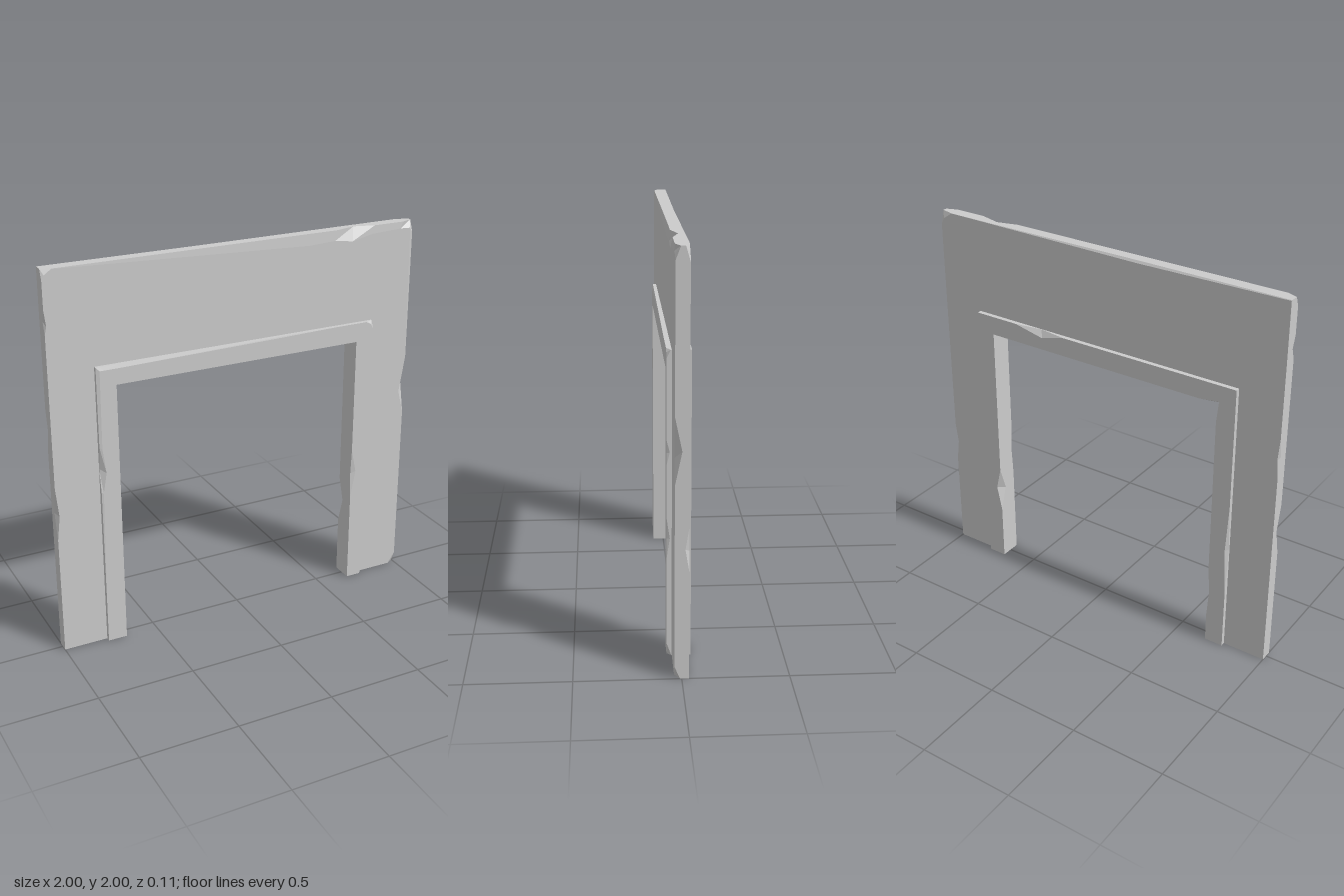
import * as THREE from 'three';

const material = new THREE.MeshStandardMaterial({ color: 0xcccccc, flatShading: true });

// Edges of the swept cross-section
const OUT_FRONT = 0, OUT_BACK = 1, IN_BACK = 2, IN_FRONT = 3;

// Point on an upside-down U of half width w and height h:
// s = 0..1 climbs the -x leg, 1..2 crosses the head, 2..3 descends the +x leg
function onArch({ w, h }, s) {
  if (s <= 1) return new THREE.Vector2(-w, h * s);
  if (s <= 2) return new THREE.Vector2(-w + 2 * w * (s - 1), h);
  return new THREE.Vector2(w, h * (3 - s));
}

// Sweeps a rectangular section between two arches; chips bevel its edges locally.
// chip = [edge, stretch, position (x or y), half length, cut across face, cut into depth]
function chippedArch(name, outer, inner, zFront, zBack, chipList) {
  const chips = chipList.map(([edge, stretch, pos, half, cut, depth]) => {
    const { w, h } = edge < 2 ? outer : inner;
    const s = { negX: pos / h, head: 1 + (pos + w) / (2 * w), posX: 3 - pos / h }[stretch];
    return { edge, s, half: half / (stretch === 'head' ? 2 * w : h), cut, depth };
  });

  const stations = [0, 1, 2, 3];
  for (const c of chips) stations.push(c.s - c.half, c.s, c.s + c.half);
  const path = [...new Set(stations.map(s => Math.round(THREE.MathUtils.clamp(s, 0, 3) * 1e4) / 1e4))]
    .sort((a, b) => a - b);

  // Two points per edge: one on the wide face, one on the narrow side
  const rings = path.map(s => {
    const o = onArch(outer, s), i = onArch(inner, s);
    const inward = i.clone().sub(o).normalize();
    const pair = edge => {
      let cut = 0, depth = 0;
      for (const c of chips) {
        if (c.edge !== edge) continue;
        const k = Math.max(0, 1 - Math.abs(s - c.s) / c.half);
        cut = Math.max(cut, c.cut * k);
        depth = Math.max(depth, c.depth * k);
      }
      const base = edge < 2 ? o : i;
      const front = edge === OUT_FRONT || edge === IN_FRONT;
      const face = base.clone().addScaledVector(inward, edge < 2 ? cut : -cut);
      const z = front ? zFront : zBack;
      return [
        new THREE.Vector3(face.x, face.y, z),
        new THREE.Vector3(base.x, base.y, z + (front ? -depth : depth)),
      ];
    };
    return [
      ...pair(OUT_FRONT), ...pair(OUT_BACK).reverse(),
      ...pair(IN_BACK), ...pair(IN_FRONT).reverse(),
    ];
  });

  const positions = [];
  const triangle = (a, b, c) => {
    const area = b.clone().sub(a).cross(c.clone().sub(a)).length();
    if (area > 1e-8) for (const p of [a, b, c]) positions.push(p.x, p.y, p.z);
  };
  for (let r = 0; r < rings.length - 1; r++) {
    const p = rings[r], q = rings[r + 1];
    for (let j = 0; j < 8; j++) {
      const k = (j + 1) % 8;
      triangle(p[j], q[j], q[k]);
      triangle(p[j], q[k], p[k]);
    }
  }
  // Feet of the two legs
  const first = rings[0], last = rings[rings.length - 1];
  for (let j = 1; j < 7; j++) {
    triangle(first[0], first[j], first[j + 1]);
    triangle(last[0], last[j + 1], last[j]);
  }

  const geometry = new THREE.BufferGeometry();
  geometry.setAttribute('position', new THREE.Float32BufferAttribute(positions, 3));
  geometry.computeVertexNormals();
  const mesh = new THREE.Mesh(geometry, material);
  mesh.name = name;
  return mesh;
}

export function createModel() {
  const group = new THREE.Group();
  group.name = 'doorwayWall';

  const wallOutline = { w: 1, h: 2 };
  const trimOutline = { w: 0.77, h: 1.5 };
  const opening = { w: 0.67, h: 1.4 };

  // Thin wall slab around the door frame
  group.add(chippedArch('wall', wallOutline, trimOutline, 0.033, -0.033, [
    [OUT_FRONT, 'negX', 0.77, 0.14, 0.02, 0.03],
    [OUT_FRONT, 'negX', 1.75, 0.06, 0.02, 0.02],
    [OUT_FRONT, 'negX', 2, 0.05, 0.03, 0.02],
    [OUT_FRONT, 'head', 0.4, 1.4, 0.06, 0.004],
    [OUT_FRONT, 'head', 0.66, 0.11, 0.07, 0.033],
    [OUT_FRONT, 'posX', 2, 0.06, 0.04, 0.025],
    [OUT_FRONT, 'posX', 1.1, 0.16, 0.05, 0.033],
    [OUT_FRONT, 'posX', 0, 0.06, 0.04, 0.025],
    [OUT_BACK, 'posX', 0.64, 0.11, 0.02, 0.018],
    [OUT_BACK, 'posX', 2, 0.07, 0.04, 0.02],
    [OUT_BACK, 'negX', 1.2, 0.1, 0.015, 0.02],
    [OUT_BACK, 'head', -0.2, 1.1, 0.012, 0.008],
  ]));

  // Thicker door frame, standing proud of the wall on both sides
  group.add(chippedArch('doorFrame', trimOutline, opening, 0.057, -0.057, [
    [OUT_FRONT, 'negX', 0.97, 0.12, 0.035, 0.022],
    [OUT_FRONT, 'head', -0.75, 1.3, 0.025, 0.006],
    [OUT_FRONT, 'posX', 1.5, 0.04, 0.02, 0.02],
    [OUT_FRONT, 'posX', 1.02, 0.06, 0.008, 0.015],
    [OUT_FRONT, 'posX', 0.6, 0.1, 0.008, 0.015],
    [OUT_FRONT, 'posX', 0, 0.06, 0.02, 0.022],
    [OUT_BACK, 'head', 0.37, 0.15, 0.04, 0.022],
    [OUT_BACK, 'negX', 0.6, 0.25, 0.015, 0.018],
    [IN_FRONT, 'posX', 0.64, 0.14, 0.03, 0.008],
    [IN_BACK, 'posX', 0.44, 0.13, 0.03, 0.04],
    [IN_BACK, 'negX', 0.3, 0.14, 0.012, 0.02],
    [IN_BACK, 'negX', 1.4, 0.1, 0.02, 0.02],
  ]));

  return group;
}
